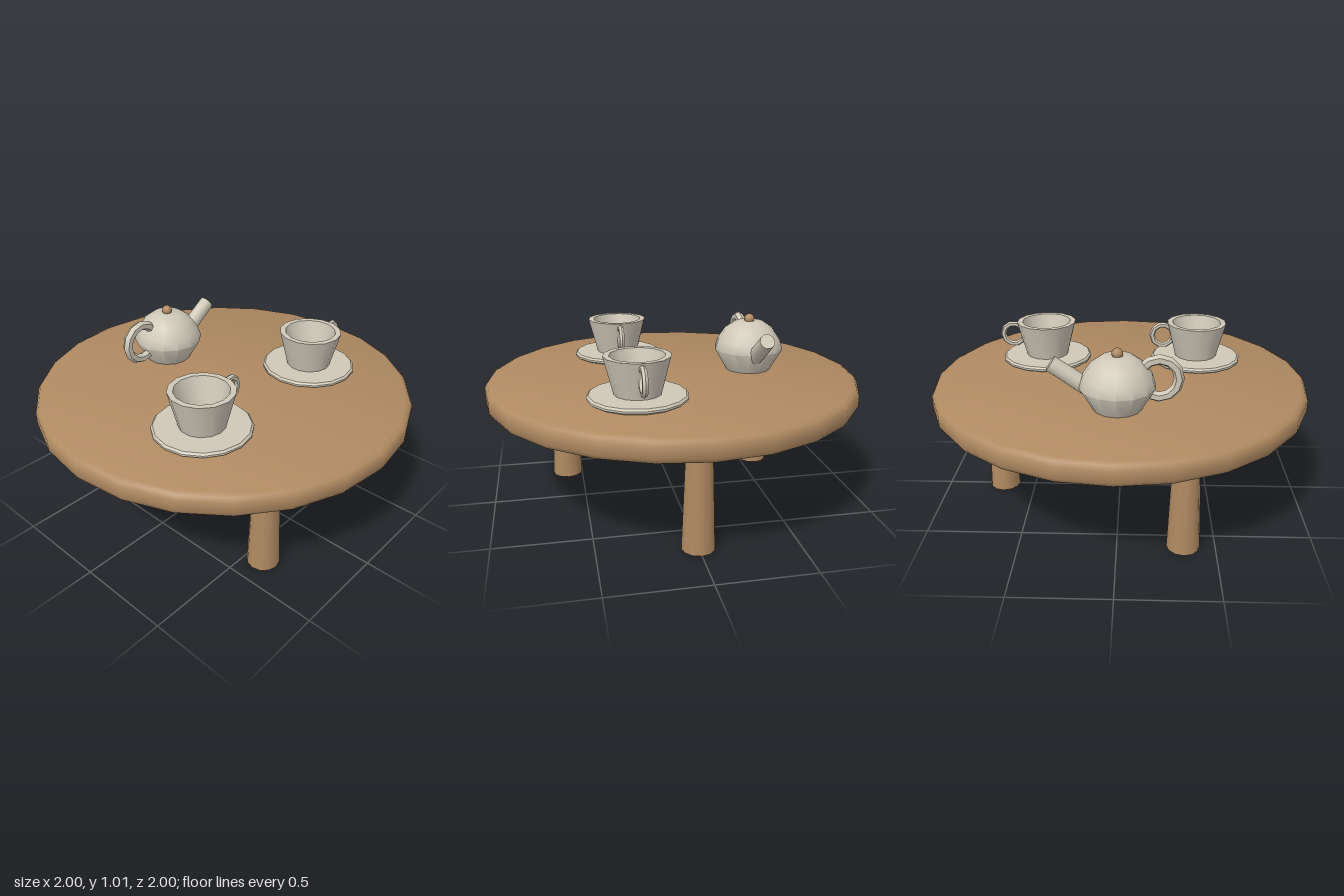
import * as THREE from 'three';
import { toCreasedNormals } from 'three/addons/utils/BufferGeometryUtils.js';

export function createModel() {
  const wood = new THREE.MeshStandardMaterial({ color: 0xb08a62 });
  wood.name = 'wood';
  const china = new THREE.MeshStandardMaterial({ color: 0xcfc8b8 });
  china.name = 'china';
  const model = new THREE.Group();
  model.name = 'teaTable';

  const add = (parent, name, geometry, material, x = 0, y = 0, z = 0) => {
    const mesh = new THREE.Mesh(geometry, material);
    mesh.name = name;
    mesh.position.set(x, y, z);
    parent.add(mesh);
    return mesh;
  };
  // Turned solid from [radius, height] pairs, with hard edges kept sharp
  const turned = (points, sides, crease = 0.7) => toCreasedNormals(
    new THREE.LatheGeometry(points.map(([r, y]) => new THREE.Vector2(r, y)), sides), crease);

  // Round table top with softened rim
  add(model, 'tableTop', turned([
    [0, 0.58], [0.965, 0.58], [0.987, 0.59], [1, 0.612],
    [1, 0.668], [0.987, 0.69], [0.965, 0.7], [0, 0.7],
  ], 24), wood);

  // Three tapered legs
  for (let i = 0; i < 3; i++) {
    const a = (i * Math.PI * 2) / 3;
    add(model, 'leg', new THREE.CylinderGeometry(0.064, 0.085, 0.59, 12), wood,
      0.675 * Math.cos(a), 0.295, 0.675 * Math.sin(a));
  }

  // Cups on saucers
  const saucerShape = turned([
    [0, 0], [0.235, 0], [0.25, 0.01], [0.25, 0.02], [0.24, 0.03], [0, 0.03],
  ], 16);
  const cupShape = turned([
    [0, 0.03], [0.118, 0.03], [0.166, 0.22], [0.136, 0.22], [0.092, 0.055], [0, 0.055],
  ], 14);
  const cupHandleShape = new THREE.TorusGeometry(0.06, 0.0155, 6, 10);
  for (const x of [-0.425, 0.425]) {
    const set = new THREE.Group();
    set.name = 'cupAndSaucer';
    set.position.set(x, 0.7, 0.25);
    add(set, 'saucer', saucerShape, china);
    add(set, 'cup', cupShape, china);
    add(set, 'cupHandle', toCreasedNormals(cupHandleShape, 0.7), china, 0.19, 0.143, 0);
    model.add(set);
  }

  // Teapot
  const teapot = new THREE.Group();
  teapot.name = 'teapot';
  teapot.position.set(0, 0.7, -0.43);
  add(teapot, 'potBody', turned([
    [0, 0], [0.122, 0], [0.188, 0.115], [0.172, 0.168], [0.132, 0.226], [0.078, 0.264], [0, 0.268],
  ], 14, 0.85), china);
  add(teapot, 'lidKnob', new THREE.SphereGeometry(0.028, 10, 8), wood, 0, 0.278, 0);
  add(teapot, 'potHandle', toCreasedNormals(new THREE.TorusGeometry(0.096, 0.026, 6, 12), 0.7),
    china, -0.2, 0.155, 0);
  // Spout slanting up to the left side
  const from = new THREE.Vector3(0.12, 0.088, 0);
  const to = new THREE.Vector3(0.32, 0.226, 0);
  const dir = to.clone().sub(from);
  const spout = add(teapot, 'spout', new THREE.CylinderGeometry(0.04, 0.043, dir.length(), 10), china);
  spout.position.copy(from).add(to).multiplyScalar(0.5);
  spout.quaternion.setFromUnitVectors(new THREE.Vector3(0, 1, 0), dir.normalize());
  model.add(teapot);

  return model;
}
